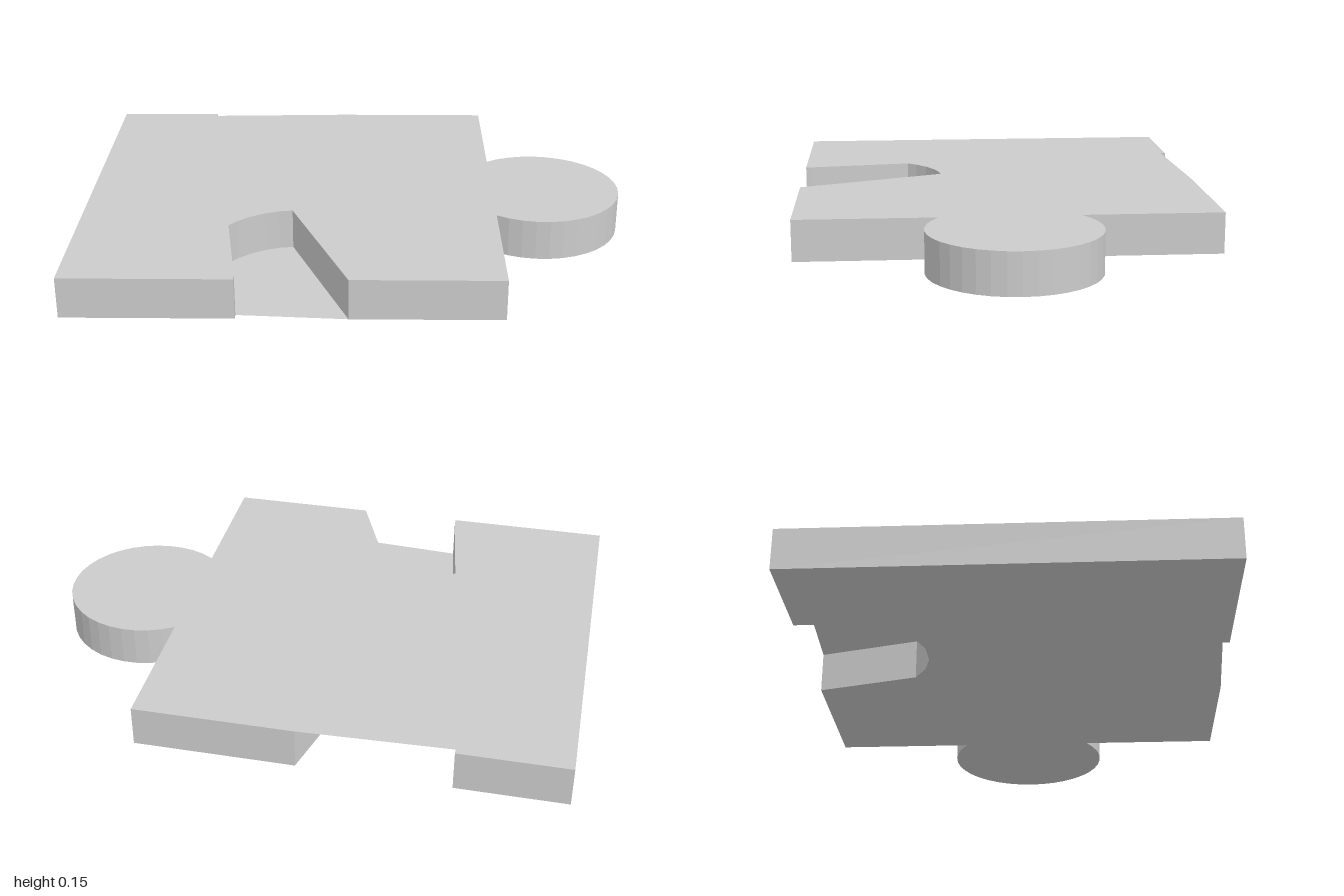
import * as THREE from 'three';

const HEIGHT = 0.15;
const HALF = 0.76; // half depth of the square body
const EDGE = 0.52; // side that carries the round tab

// Points are [x, z], listed counter-clockwise seen from above.
function arc(cx, cz, r, from, to, steps) {
  return Array.from({ length: steps + 1 }, (_, i) => {
    const a = from + ((to - from) * i) / steps;
    return [cx + r * Math.cos(a), cz - r * Math.sin(a)];
  });
}

// Front socket, from its left rim round to its right rim
const frontRim = [[-0.4, HALF], [-0.4, 0.735]];
const frontPocket = [[-0.455, 0.345], [-0.425, 0.31], [-0.38, 0.272], [-0.33, 0.243], [-0.28, 0.225], [-0.23, 0.217]];
const frontEnd = [[-0.015, HALF]];

// Back socket, travelling towards -x
const backStart = [[-0.06, -HALF]];
const backPocket = [[-0.16, -0.386], [-0.23, -0.342], [-0.31, -0.32], [-0.4, -0.323], [-0.48, -0.353], [-0.55, -0.4], [-0.6, -0.457]];
const backRim = [[-0.605, -0.74], [-0.605, -HALF]];

// Round tab
const spread = Math.PI - Math.acos(0.175 / 0.305);
const tab = arc(0.695, 0, 0.305, -spread, spread, 26);

function outline(withFront, withBack) {
  return [
    [-1, HALF],
    ...frontRim, ...(withFront ? frontPocket : []), ...frontEnd,
    [EDGE, HALF], ...tab, [EDGE, -HALF],
    ...backStart, ...(withBack ? backPocket : []), ...backRim,
    [-1, -HALF],
  ];
}

// Flat face filling an outline at height y
function cap(points, y) {
  const shape = new THREE.Shape(points.map(([x, z]) => new THREE.Vector2(x, -z)));
  return new THREE.ShapeGeometry(shape).rotateX(-Math.PI / 2).translate(0, y, 0);
}

// Upright faceted wall following an outline
function wall(points) {
  const pos = [];
  points.forEach(([ax, az], i) => {
    const [bx, bz] = points[(i + 1) % points.length];
    pos.push(ax, 0, az, bx, 0, bz, bx, HEIGHT, bz);
    pos.push(ax, 0, az, bx, HEIGHT, bz, ax, HEIGHT, az);
  });
  const g = new THREE.BufferGeometry();
  g.setAttribute('position', new THREE.Float32BufferAttribute(pos, 3));
  g.computeVertexNormals();
  return g;
}

export function createModel() {
  const group = new THREE.Group();
  group.name = 'puzzlePiece';
  const material = new THREE.MeshStandardMaterial({ color: 0xcccccc, flatShading: true, side: THREE.DoubleSide });
  const add = (name, geometry) => {
    const mesh = new THREE.Mesh(geometry, material);
    mesh.name = name;
    group.add(mesh);
  };

  // The top is open over the front socket, the bottom under the back one
  add('topFace', cap(outline(true, false), HEIGHT));
  add('bottomFace', cap(outline(false, true), 0));
  add('sideWall', wall(outline(true, true)));
  return group;
}
